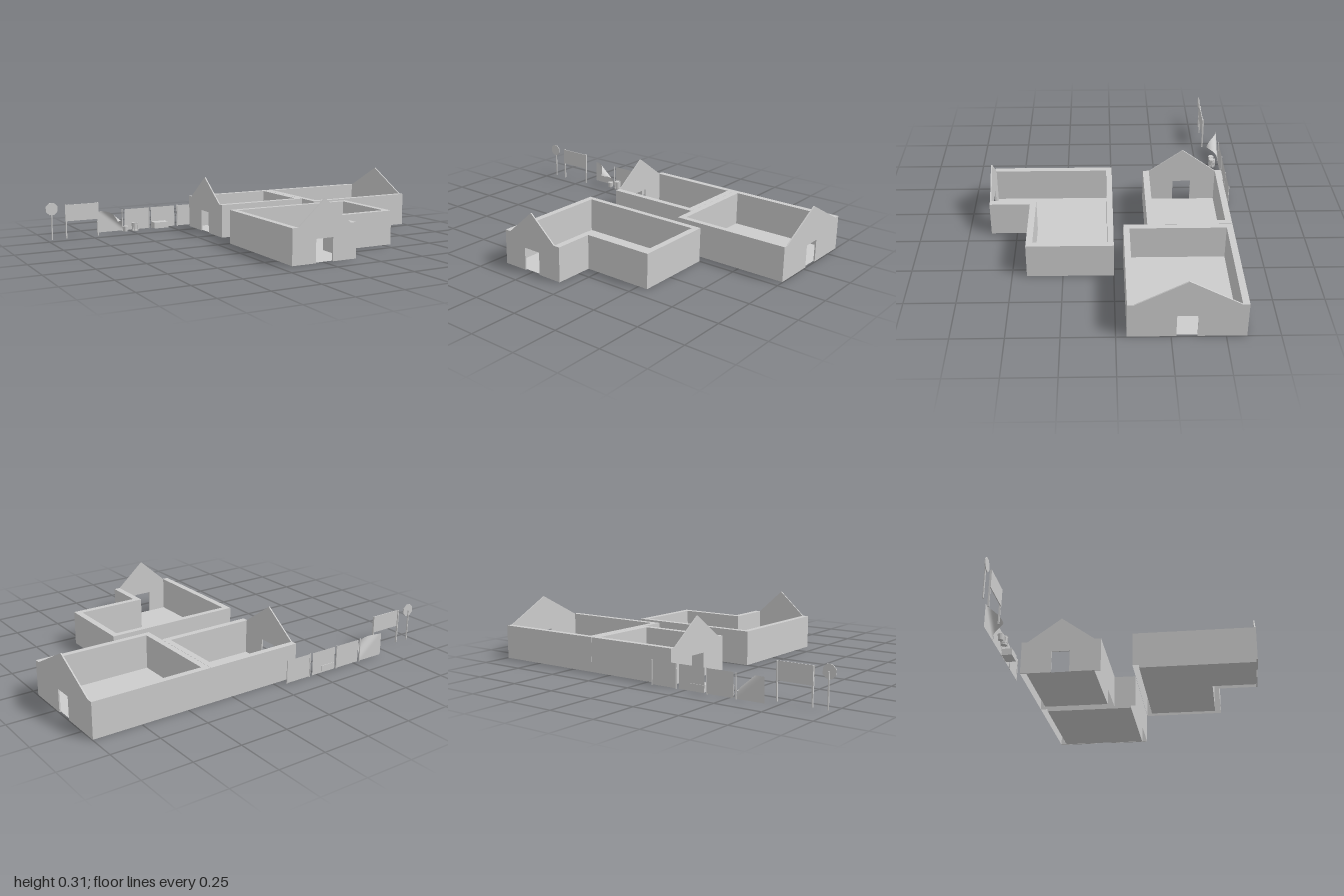
import * as THREE from 'three';

const H = 0.18, PEAK = 0.31, T = 0.007;
const mat = new THREE.MeshStandardMaterial({ color: 0xcccccc, flatShading: true, side: THREE.DoubleSide });
const smooth = new THREE.MeshStandardMaterial({ color: 0xcccccc, side: THREE.DoubleSide });

function add(parent, name, geo, x = 0, y = 0, z = 0, m = mat) {
  const mesh = new THREE.Mesh(geo, m);
  mesh.name = name;
  mesh.position.set(x, y, z);
  parent.add(mesh);
  return mesh;
}

// Flat horizontal polygon from [x, z] points
function flat(pts) {
  const shape = new THREE.Shape(pts.map(([x, z]) => new THREE.Vector2(x, -z)));
  return new THREE.ShapeGeometry(shape).rotateX(-Math.PI / 2);
}

// Vertical faces standing on a closed [x, z] loop
function ribbon(pts, h) {
  const pos = [];
  pts.forEach(([x, z], i) => {
    const [X, Z] = pts[(i + 1) % pts.length];
    pos.push(x, 0, z, X, 0, Z, X, h, Z, x, 0, z, X, h, Z, x, h, z);
  });
  const g = new THREE.BufferGeometry();
  g.setAttribute('position', new THREE.Float32BufferAttribute(pos, 3));
  g.computeVertexNormals();
  return g;
}

// Gable panel with a doorway; u runs along the wall
function gable(u0, u1, i0, i1, mid) {
  const d = 0.048, dh = 0.118;
  const pts = [[u0, 0], [mid - d, 0], [mid - d, dh], [mid + d, dh], [mid + d, 0], [u1, 0],
    [u1, H], [i1, H], [mid, PEAK], [i0, H], [u0, H]];
  const shape = new THREE.Shape(pts.map((p) => new THREE.Vector2(...p)));
  return new THREE.ExtrudeGeometry(shape, { depth: T, bevelEnabled: false });
}

// Roofless building: outer and inner paths both run from one gable end to the other
function building(parent, name, outer, inner, gableGeo, x, z) {
  const g = new THREE.Group();
  g.name = name;
  const loop = [...outer, ...inner.slice().reverse()];
  add(g, 'wallSides', ribbon(loop, H));
  add(g, 'wallTop', flat(loop), 0, H);
  add(g, 'floor', flat(inner), 0, 0.002);
  add(g, 'gableWall', gableGeo, x, 0, z);
  parent.add(g);
}

export function createModel() {
  const root = new THREE.Group();
  root.name = 'buildingsAndStreetProps';

  // L-shaped building, gable to the front
  const f = 0.635 - T;
  building(root, 'cornerBuilding',
    [[0.183, f], [0.183, 0.427], [0.55, 0.427], [0.55, 0], [-0.178, 0], [-0.178, f]],
    [[0.15, f], [0.15, 0.395], [0.517, 0.395], [0.517, 0.03], [-0.145, 0.03], [-0.145, f]],
    gable(-0.178, 0.183, -0.145, 0.15, 0.002), 0, f);

  // Small building, gable to the right
  const b = -0.14 + T;
  building(root, 'smallBuilding',
    [[b, -0.17], [0.373, -0.17], [0.373, -0.595], [b, -0.595]],
    [[b, -0.203], [0.34, -0.203], [0.34, -0.563], [b, -0.563]],
    gable(-0.595, -0.17, -0.563, -0.203, -0.383).rotateY(-Math.PI / 2), b, 0);

  // Large building, gable to the left
  const c = 0.997 - T;
  building(root, 'largeBuilding',
    [[c, -0.05], [0.374, -0.05], [0.374, -0.595], [c, -0.595]],
    [[c, -0.08], [0.407, -0.08], [0.407, -0.563], [c, -0.563]],
    gable(0.05, 0.595, 0.08, 0.563, 0.322).rotateY(Math.PI / 2), c, 0);

  // Fence: three flat panels, posts, and one panel with a curled corner
  const fz = -0.635, pw = 0.147, ph = 0.12;
  for (const x of [-0.453, -0.292, -0.132]) add(root, 'fencePanel', new THREE.PlaneGeometry(pw, ph), x, 0.063, fz);
  for (const x of [-0.54, -0.378, -0.2, -0.055])
    add(root, 'fencePost', new THREE.CylinderGeometry(0.003, 0.003, 0.125, 6), x, 0.0625, fz);

  const curl = new THREE.PlaneGeometry(pw, ph, 24, 20), p = curl.attributes.position;
  const nx = 0.64, ny = 0.768, R = 0.034, start = (pw / 2) * nx + (ph / 2) * ny - 0.09;
  for (let i = 0; i < p.count; i++) {
    const s = p.getX(i) * nx + p.getY(i) * ny - start;
    if (s <= 0) continue;
    const a = s / R, shift = R * Math.sin(a) - s;
    p.setXYZ(i, p.getX(i) + nx * shift, p.getY(i) + ny * shift, R * (1 - Math.cos(a)));
  }
  curl.computeVertexNormals();
  add(root, 'curledFencePanel', curl, -0.617, 0.063, fz, smooth);

  // Crate against the fence
  add(root, 'crate', new THREE.BoxGeometry(0.085, 0.034, 0.056), -0.322, 0.023, -0.61);

  // Slatted bin and bucket
  const bin = new THREE.Group();
  bin.name = 'slattedBin';
  bin.position.set(-0.48, 0, -0.594);
  for (let i = 0; i < 10; i++) {
    const a = (i / 10) * Math.PI * 2;
    add(bin, 'binSlat', new THREE.BoxGeometry(0.008, 0.046, 0.002), Math.sin(a) * 0.017, 0.025, Math.cos(a) * 0.017).rotation.y = a;
  }
  add(bin, 'binLiner', new THREE.CylinderGeometry(0.015, 0.015, 0.044, 12), 0, 0.025, 0, smooth);
  for (const y of [0.012, 0.048])
    add(bin, 'binRing', new THREE.TorusGeometry(0.018, 0.0015, 6, 16).rotateX(Math.PI / 2), 0, y, 0, smooth);
  root.add(bin);
  add(root, 'bucket', new THREE.CylinderGeometry(0.016, 0.013, 0.03, 12), -0.538, 0.018, -0.595);

  // Billboard on two posts
  add(root, 'billboard', new THREE.BoxGeometry(0.188, 0.09, 0.004), -0.8, 0.14, -0.556);
  for (const x of [-0.889, -0.709])
    add(root, 'billboardPost', new THREE.BoxGeometry(0.006, 0.186, 0.008), x, 0.093, -0.56);

  // Round sign
  add(root, 'signPlate', new THREE.CylinderGeometry(0.035, 0.035, 0.004, 8).rotateY(Math.PI / 8).rotateX(Math.PI / 2), -0.967, 0.168, -0.556);
  add(root, 'signPole', new THREE.CylinderGeometry(0.004, 0.004, 0.168, 8), -0.967, 0.084, -0.562);

  return root;
}
